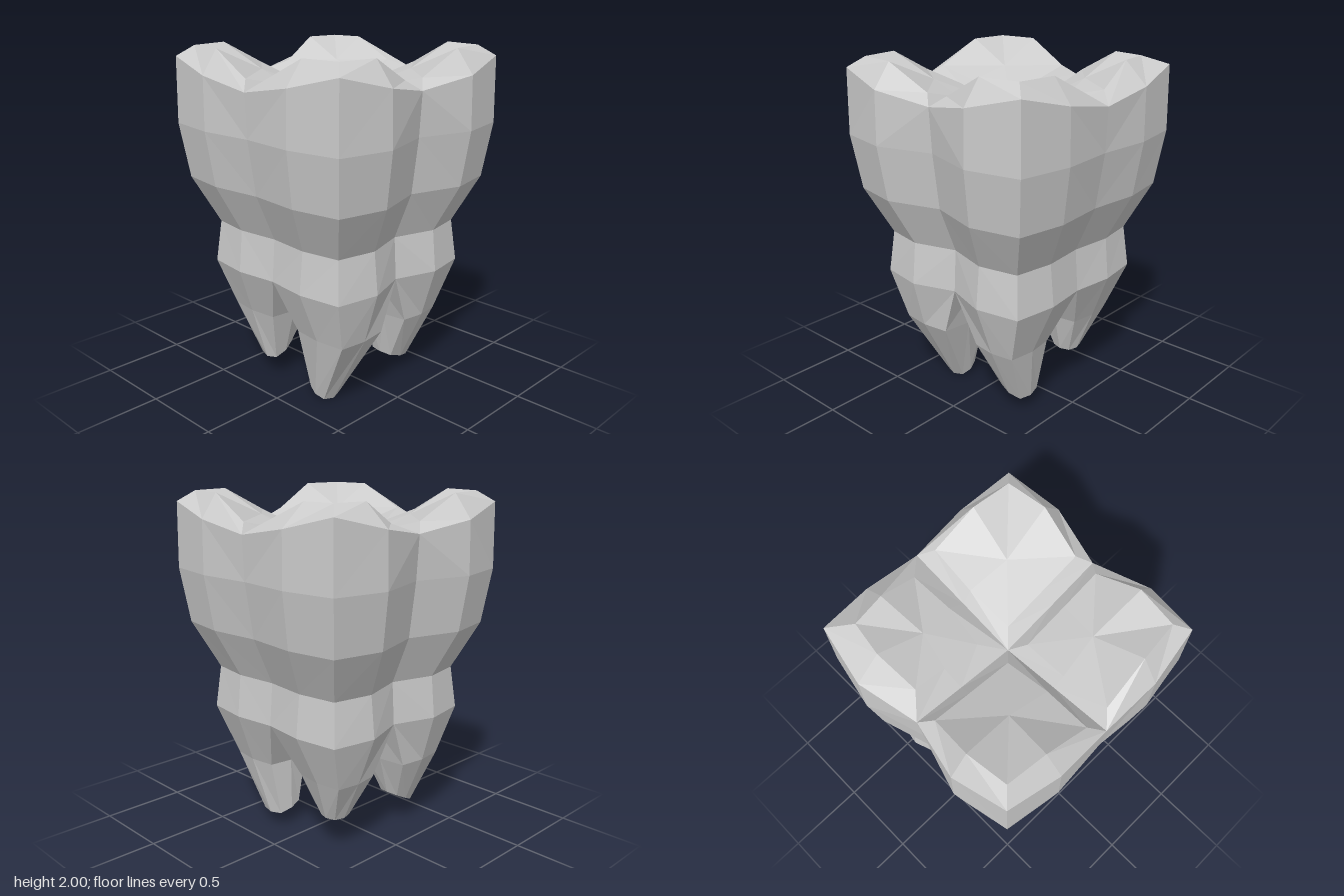
import * as THREE from 'three';

const material = new THREE.MeshStandardMaterial({ color: 0xcccccc, flatShading: true });

// Collects faces in the +x +z quarter and mirrors them into any quarter.
class Facets {
  constructor() { this.data = []; }
  tri(sx, sz, a, b, c) {
    const order = sx * sz > 0 ? [a, b, c] : [a, c, b];
    for (const [x, y, z] of order) this.data.push(sx * x, y, sz * z);
  }
  // Wall between two loops, from point index i0 to i1
  band(sx, sz, lo, hi, i0, i1) {
    for (let i = i0; i < i1; i++) {
      const j = (i + 1) % 8;
      this.tri(sx, sz, lo[i], hi[i], hi[j]);
      this.tri(sx, sz, lo[i], hi[j], lo[j]);
    }
  }
  mesh(name) {
    const g = new THREE.BufferGeometry();
    g.setAttribute('position', new THREE.Float32BufferAttribute(this.data, 3));
    g.computeVertexNormals();
    const m = new THREE.Mesh(g, material);
    m.name = name;
    return m;
  }
}

// Quarter loop of eight points: centre, along x, outer corner, back along z
const quarterLoop = ({ y, q, c, bx, bz, mx, mz }) => [
  [0, y, 0], [q, y, 0], [mx, y, 0], [bx, y, q],
  [c, y, c], [q, y, bz], [0, y, mz], [0, y, q],
];

// Crown sections from the neck upwards
const rings = [
  { y: 0.735, q: 0.25, c: 0.505, bx: 0.54, bz: 0.55, mx: 0.51, mz: 0.465 },
  { y: 0.98, q: 0.25, c: 0.48, bx: 0.515, bz: 0.525, mx: 0.49, mz: 0.45 },
  { y: 1.25, q: 0.31, c: 0.595, bx: 0.64, bz: 0.655, mx: 0.61, mz: 0.56 },
  { y: 1.565, q: 0.325, c: 0.635, bx: 0.685, bz: 0.7, mx: 0.66, mz: 0.6 },
].map(quarterLoop);

// Upper rim, with the valleys that separate the cusps
const rim = [
  [0, 1.68, 0], [0.325, 1.745, 0], [0.67, 1.81, 0], [0.68, 1.865, 0.325],
  [0.63, 1.94, 0.63], [0.325, 1.865, 0.692], [0, 1.81, 0.615], [0, 1.745, 0.325],
];

// Raised cusp loop: n is the inset from the valleys, e the outer edge
const cuspLoop = (n, e, top) => [
  [n, 1.75, n], [0.33, 1.81, n * 0.8], [e + 0.045, 1.865, n], [e + 0.025, top, 0.33],
  [e, top, e], [0.325, top, e + 0.03], [n, 1.865, e], [n, 1.81, 0.33],
];

// Root section between x0..x1 and z0..z1, with y given per point
function rootLoop(x0, x1, z0, z1, yAt, bevel) {
  const xm = (x0 + x1) / 2, zm = (z0 + z1) / 2;
  return [
    [x0 + bevel, z0 + bevel], [xm, z0], [x1 - bevel, z0 + bevel], [x1, zm],
    [x1 - bevel, z1 - bevel], [xm, z1], [x0 + bevel, z1 - bevel], [x0, zm],
  ].map(([x, z]) => [x, yAt((x - x0) / (x1 - x0), (z - z0) / (z1 - z0)), z]);
}

const quarters = [
  { // front left: tip slopes down towards the outside
    name: 'frontLeftRoot', sx: 1, sz: 1, cusp: [0.07, 0.555, 2],
    mid: [0.11, 0.42, 0.11, 0.45, 0.43],
    tip: [0.17, 0.35, 0.115, 0.3, (u, v) => 0.14 - 0.05 * u - 0.01 * v],
  },
  {
    name: 'frontRightRoot', sx: -1, sz: 1, cusp: [0.07, 0.555, 2],
    mid: [0.08, 0.44, 0.085, 0.47, 0.44],
    tip: [0.185, 0.345, 0.09, 0.235, (u, v) => 0.06 * (1 - v)],
  },
  {
    name: 'backLeftRoot', sx: 1, sz: -1, cusp: [0.11, 0.515, 1.99],
    mid: [0.11, 0.42, 0.11, 0.45, 0.45],
    tip: [0.18, 0.33, 0.18, 0.33, () => 0.2],
  },
  {
    name: 'backRightRoot', sx: -1, sz: -1, cusp: [0.07, 0.555, 2],
    mid: [0.09, 0.43, 0.1, 0.465, 0.45],
    tip: [0.18, 0.34, 0.18, 0.345, (u) => 0.2 - 0.08 * u],
  },
];

export function createModel() {
  const tooth = new THREE.Group();
  tooth.name = 'tooth';
  const crown = new Facets(), chewing = new Facets();

  for (const { name, sx, sz, cusp, mid, tip } of quarters) {
    // Crown wall
    const loops = [...rings, rim];
    for (let k = 0; k + 1 < loops.length; k++) crown.band(sx, sz, loops[k], loops[k + 1], 2, 6);

    // Cusp: sloped border and a hollow inside
    const inner = cuspLoop(...cusp);
    chewing.band(sx, sz, rim, inner, 0, 8);
    const pit = [0.3, 1.87, 0.29];
    for (let i = 0; i < 8; i++) chewing.tri(sx, sz, inner[i], pit, inner[(i + 1) % 8]);

    // Tapered root with a closed tip
    const root = new Facets();
    const [x0, x1, z0, z1, y] = mid;
    const middle = rootLoop(x0, x1, z0, z1, () => y, 0.02);
    const end = rootLoop(...tip, 0.018);
    root.band(sx, sz, middle, rings[0], 0, 8);
    root.band(sx, sz, end, middle, 0, 8);
    const centre = [0, 1, 2].map((k) => end.reduce((s, p) => s + p[k], 0) / 8);
    for (let i = 0; i < 8; i++) root.tri(sx, sz, end[i], end[(i + 1) % 8], centre);
    tooth.add(root.mesh(name));
  }

  tooth.add(crown.mesh('crown'), chewing.mesh('chewingSurface'));
  return tooth;
}
